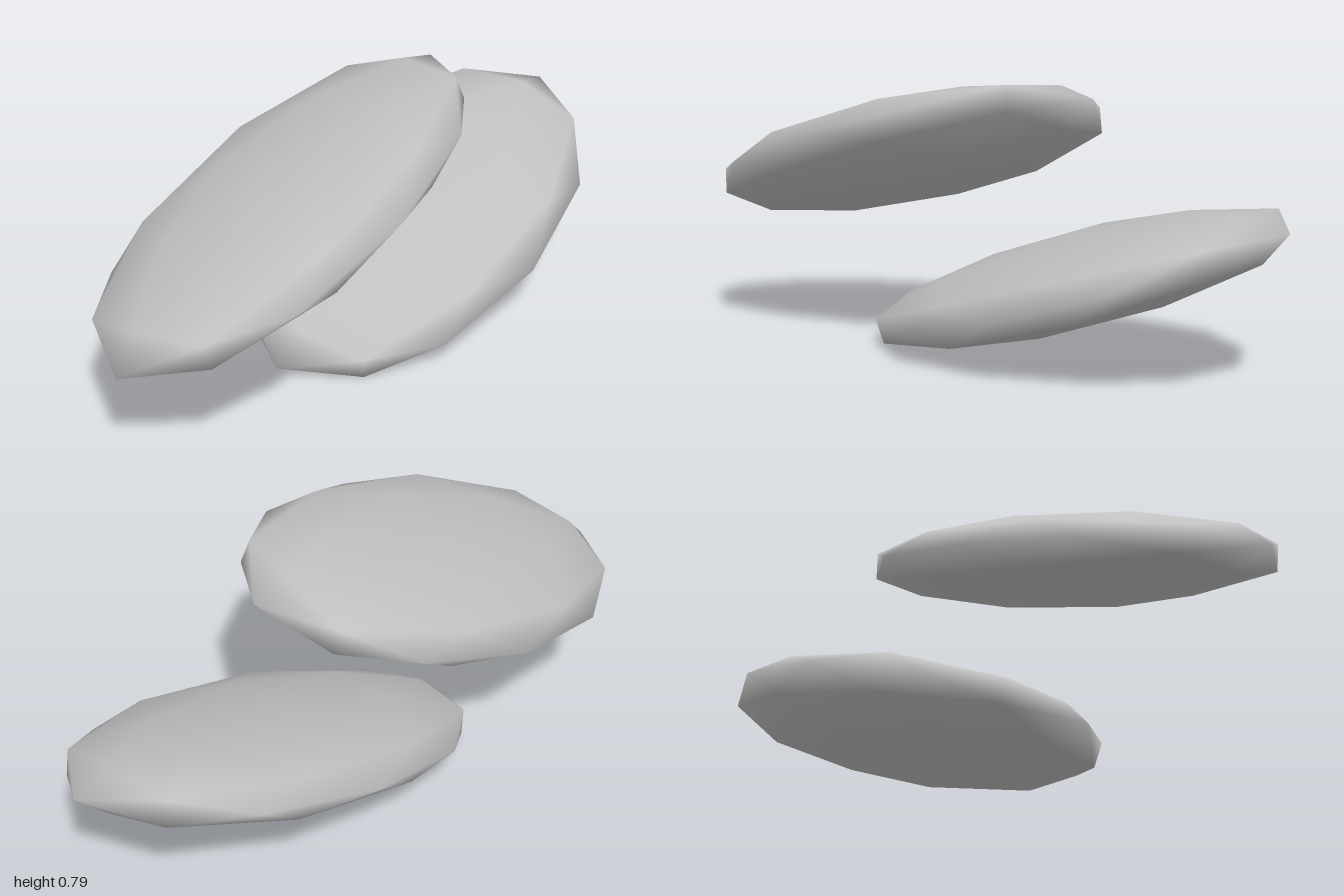
import * as THREE from 'three';

// Half sizes shared by both discs: width, thickness, length
const SIZE = new THREE.Vector3(0.42, 0.123, 0.723);

// One flattened low-poly ball, aimed by its long and wide directions
function makeDisc(name, center, longDir, wideDir, material) {
  const z = new THREE.Vector3(...longDir).normalize();
  const y = new THREE.Vector3().crossVectors(z, new THREE.Vector3(...wideDir)).normalize();
  const x = new THREE.Vector3().crossVectors(y, z);

  const geometry = new THREE.IcosahedronGeometry(1, 1); // smooth normals
  geometry.scale(SIZE.x, SIZE.y, SIZE.z);

  const disc = new THREE.Mesh(geometry, material);
  disc.name = name;
  disc.quaternion.setFromRotationMatrix(new THREE.Matrix4().makeBasis(x, y, z));
  disc.position.set(...center);
  return disc;
}

export function createModel() {
  const group = new THREE.Group();
  group.name = 'pairOfDiscs';

  const grey = new THREE.MeshStandardMaterial({ color: 0xc0c0c0 });
  grey.name = 'light grey';

  const longDir = [0.102, -0.198, 0.688];
  group.add(
    makeDisc('upperDisc', [0.043, 0.545, 0.314], longDir, [0.41, 0.09, -0.035], grey),
    makeDisc('lowerDisc', [-0.046, 0.23, -0.314], longDir, [0.407, -0.065, -0.08], grey),
  );
  return group;
}
